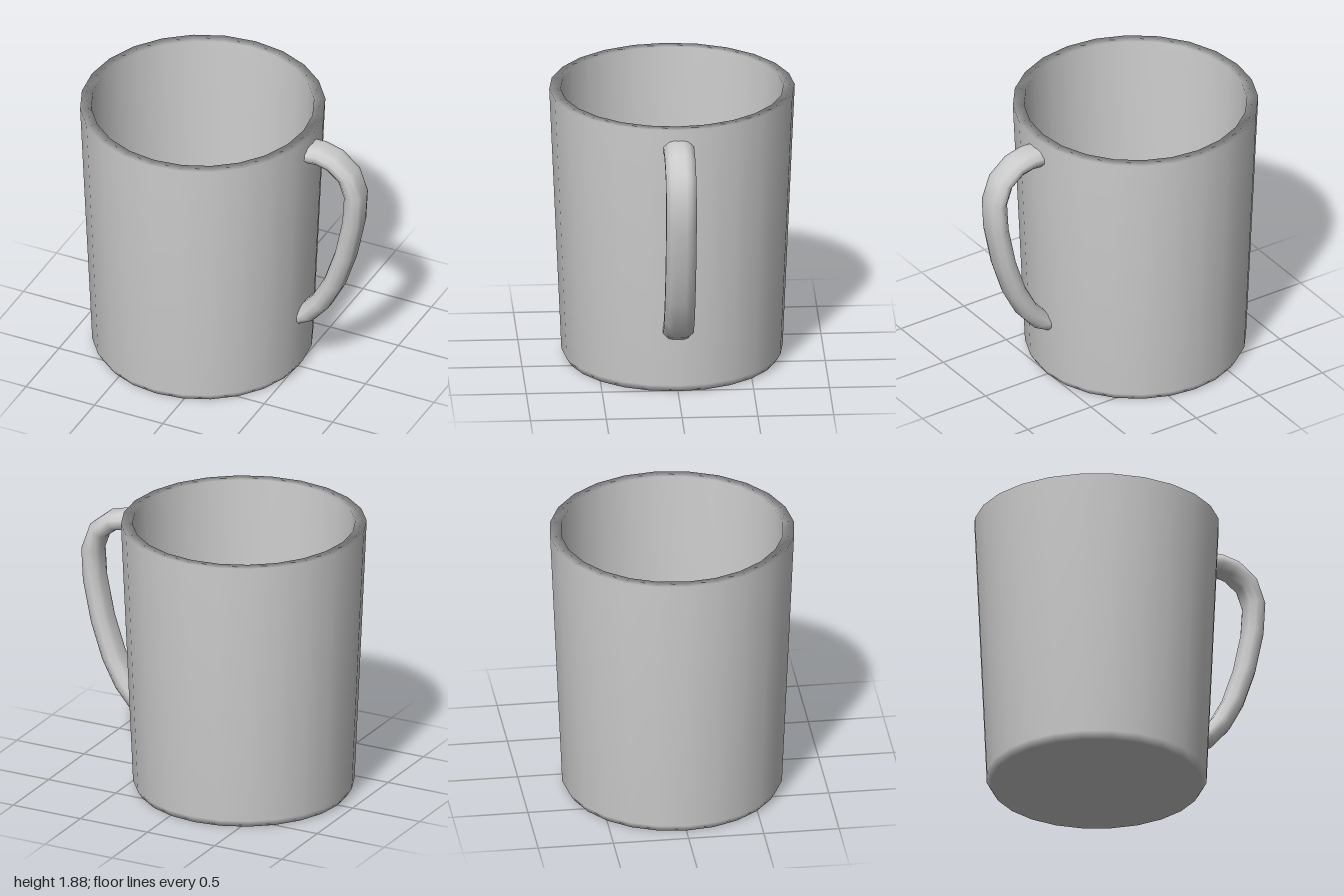
import * as THREE from 'three';

const SIDES = 24;
const CUP_X = -0.19;

// Closed lathe profile: base, outer wall, rim, inner wall, floor
const CUP_PROFILE = [
  [0, 0], [0.70, 0], [0.73, 0.05], [0.81, 1.88],
  [0.735, 1.88], [0.70, 0.12], [0.665, 0.07], [0, 0.07],
];

// Handle centre line from the upper joint to the lower joint
const HANDLE_PATH = [
  [0.57, 1.735], [0.675, 1.74], [0.775, 1.715], [0.88, 1.63], [0.93, 1.49],
  [0.918, 1.28], [0.86, 1.0], [0.778, 0.755], [0.685, 0.58], [0.59, 0.47], [0.54, 0.44],
];

// A quarter of the handle's section (outward, sideways), mirrored into a full ring
const QUARTER = [[0.066, 0.035], [0.055, 0.068], [0.02, 0.1]];
const BACK = [...QUARTER].reverse();
const SECTION = [
  ...QUARTER,
  ...BACK.map(([u, v]) => [-u, v]),
  ...QUARTER.map(([u, v]) => [-u, -v]),
  ...BACK.map(([u, v]) => [u, -v]),
];

function handleGeometry() {
  const positions = [];
  const indices = [];
  const n = SECTION.length;
  const last = HANDLE_PATH.length - 1;

  HANDLE_PATH.forEach(([x, y], i) => {
    const [ax, ay] = HANDLE_PATH[Math.max(i - 1, 0)];
    const [bx, by] = HANDLE_PATH[Math.min(i + 1, last)];
    const normal = new THREE.Vector2(ay - by, bx - ax).normalize();
    if (i === last) normal.set(0, -1); // end cut lies along the wall
    for (const [u, v] of SECTION) positions.push(x + normal.x * u, y + normal.y * u, v);
  });

  for (let i = 0; i < last; i++) {
    for (let j = 0; j < n; j++) {
      const k = (j + 1) % n;
      const a = i * n + j, b = i * n + k;
      indices.push(a, b, a + n, b, b + n, a + n);
    }
  }

  const geometry = new THREE.BufferGeometry();
  geometry.setAttribute('position', new THREE.Float32BufferAttribute(positions, 3));
  geometry.setIndex(indices);
  geometry.computeVertexNormals();
  return geometry;
}

export function createModel() {
  const group = new THREE.Group();
  group.name = 'mug';
  const material = new THREE.MeshStandardMaterial({ color: 0xcccccc });

  // Tapered hollow cup
  const points = CUP_PROFILE.map(([r, y]) => new THREE.Vector2(r, y));
  const cup = new THREE.Mesh(new THREE.LatheGeometry(points, SIDES), material);
  cup.name = 'cup';
  cup.position.x = CUP_X;
  group.add(cup);

  // Curved handle, its open ends buried in the wall
  const handleMaterial = material.clone();
  handleMaterial.side = THREE.DoubleSide;
  const handle = new THREE.Mesh(handleGeometry(), handleMaterial);
  handle.name = 'handle';
  group.add(handle);

  return group;
}
